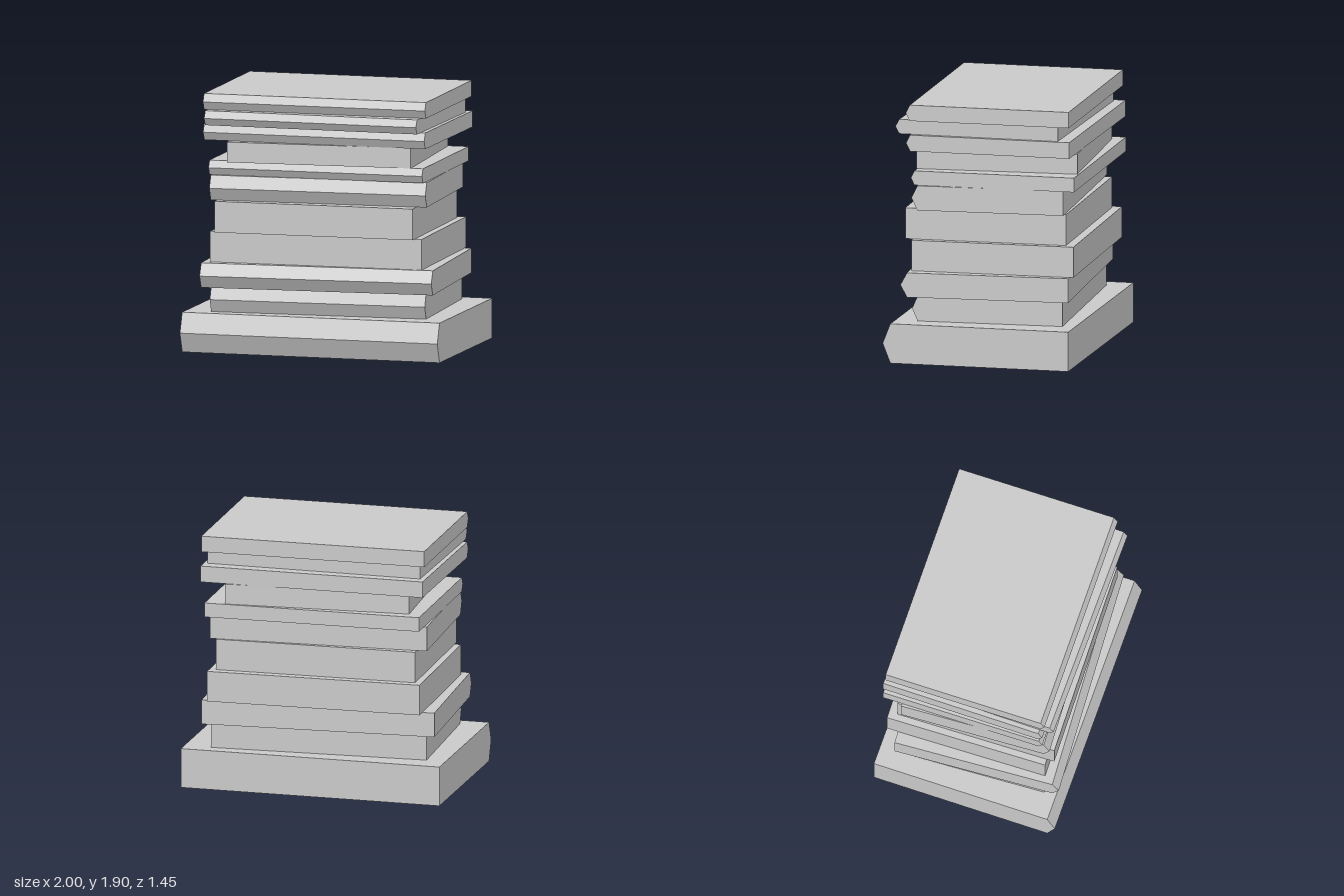
import * as THREE from 'three';

// Each book: top height, width, depth, turn about y, centre x, centre z, spine bevel (0 = plain block)
const BOOKS = [
  [0.294, 1.967, 1.40, -0.0245, 0, -0.003, 0.058],
  [0.481, 1.622, 1.122, 0.021, -0.003, -0.012, 0.04],
  [0.663, 1.745, 1.25, 0.030, -0.002, 0.007, 0.05],
  [0.890, 1.606, 1.215, -0.003, -0.002, -0.068, 0],
  [1.120, 1.505, 1.207, -0.005, -0.004, -0.007, 0],
  [1.303, 1.63, 1.132, 0.021, -0.002, -0.012, 0.045],
  [1.409, 1.627, 1.228, -0.015, -0.002, -0.08, 0.027],
  [1.559, 1.38, 1.198, 0.036, 0, -0.049, 0],
  [1.679, 1.69, 1.231, -0.026, -0.002, -0.061, 0.03],
  [1.786, 1.623, 1.229, -0.034, -0.002, 0.024, 0.03],
  [1.904, 1.692, 1.226, -0.017, -0.003, -0.05, 0.03],
];

// Block whose front edge comes to a ridge at mid height
function spinedBlock(w, h, d, bevel) {
  const shape = new THREE.Shape([
    new THREE.Vector2(-d / 2, -h / 2),
    new THREE.Vector2(d / 2 - bevel, -h / 2),
    new THREE.Vector2(d / 2, 0),
    new THREE.Vector2(d / 2 - bevel, h / 2),
    new THREE.Vector2(-d / 2, h / 2),
  ]);
  return new THREE.ExtrudeGeometry(shape, { depth: w, bevelEnabled: false })
    .translate(0, 0, -w / 2)
    .rotateY(-Math.PI / 2);
}

export function createModel() {
  const group = new THREE.Group();
  group.name = 'bookStack';
  const material = new THREE.MeshStandardMaterial({ color: 0xcccccc, flatShading: true });

  // Stack the books from the floor up
  let base = 0;
  BOOKS.forEach(([top, w, d, turn, x, z, bevel], i) => {
    const h = top - base;
    const geometry = bevel ? spinedBlock(w, h, d, bevel) : new THREE.BoxGeometry(w, h, d);
    const book = new THREE.Mesh(geometry, material);
    book.name = `book${i + 1}`;
    book.position.set(x, base + h / 2, z);
    book.rotation.y = turn;
    group.add(book);
    base = top;
  });
  return group;
}
